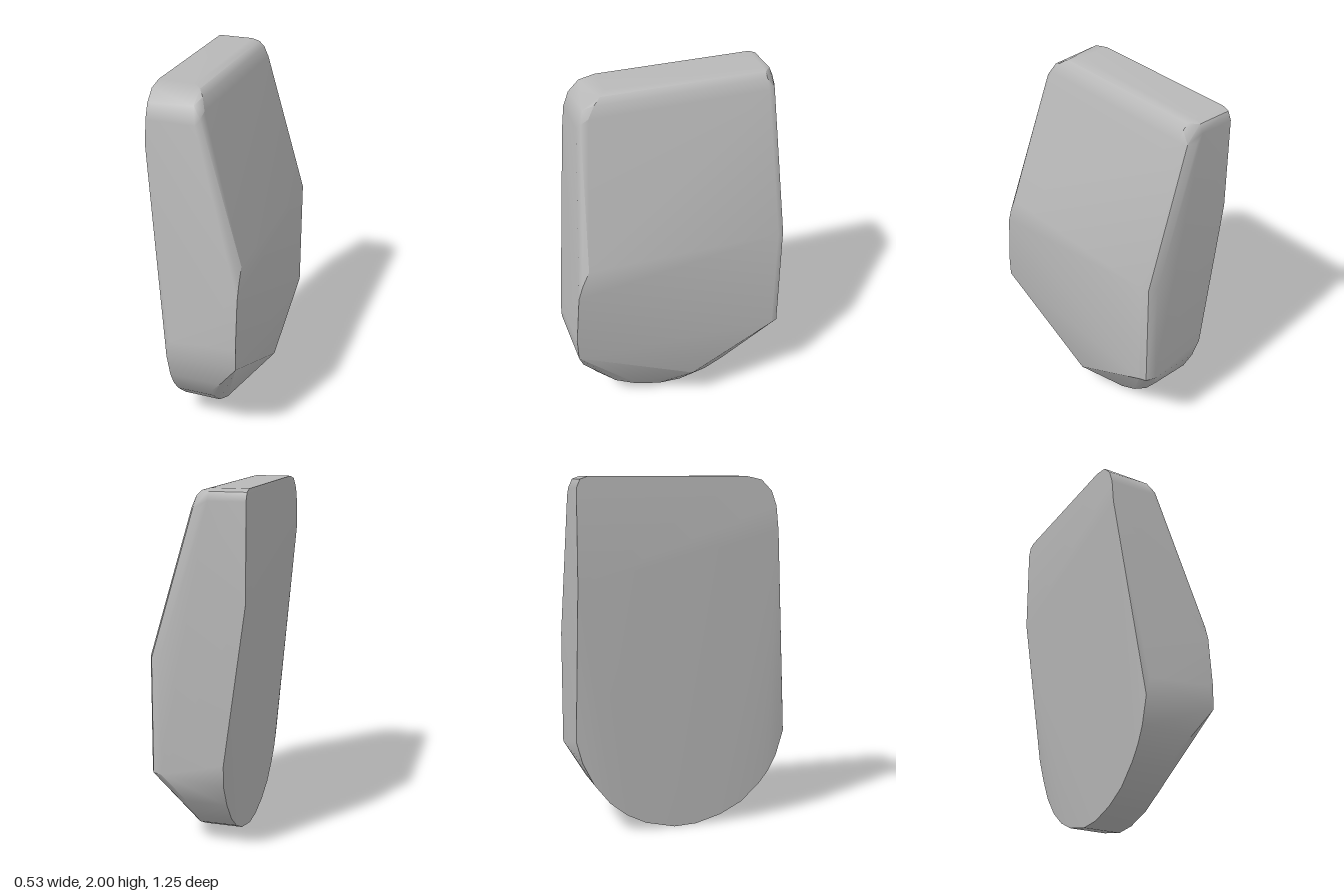
import * as THREE from 'three';
import { ConvexGeometry } from 'three/addons/geometries/ConvexGeometry.js';

// Hard edges above the crease angle, area-weighted smooth normals below it.
function creaseNormals(geo, degrees) {
  const pos = geo.attributes.position;
  const limit = Math.cos(THREE.MathUtils.degToRad(degrees));
  const corners = new Map();
  const faces = [];
  const p = [0, 1, 2].map(() => new THREE.Vector3());
  const key = (v) => v.toArray().map((n) => Math.round(n * 1e4)).join();
  for (let i = 0; i < pos.count; i += 3) {
    p.forEach((v, k) => v.fromBufferAttribute(pos, i + k));
    const area = p[1].clone().sub(p[0]).cross(p[2].clone().sub(p[0]));
    const face = { area, unit: area.clone().normalize(), keys: p.map(key) };
    faces.push(face);
    for (const k of face.keys) corners.set(k, [...(corners.get(k) ?? []), face]);
  }
  const normals = [];
  for (const f of faces) {
    for (const k of f.keys) {
      const n = new THREE.Vector3();
      for (const o of corners.get(k)) if (o.unit.dot(f.unit) > limit) n.add(o.area);
      normals.push(...n.normalize().toArray());
    }
  }
  geo.setAttribute('normal', new THREE.Float32BufferAttribute(normals, 3));
  return geo;
}

export function createModel() {
  const grey = new THREE.MeshStandardMaterial({ color: 0xb8b8b8 });
  grey.name = 'plain grey';
  const points = [];
  const add = (x, y, z) => points.push(new THREE.Vector3(x, y, z));

  // Rounded bottom: the arc as [z, y, right-hand x], from front to back
  const arc = [
    [0.62, 0.52, 0.265], [0.575, 0.37, 0.155], [0.53, 0.285, 0.09], [0.47, 0.21, 0.075],
    [0.36, 0.11, 0.075], [0.23, 0.045, 0.075], [0.08, 0.005, 0.075], [-0.05, 0, 0.075],
    [-0.22, 0.04, 0.075], [-0.33, 0.095, 0.075], [-0.43, 0.175, 0.075],
    [-0.52, 0.29, 0.09], [-0.585, 0.42, 0.17],
  ];
  for (const [z, y, x] of arc) {
    add(-0.14, y, z);
    add(x, y, z);
  }
  add(0.265, 0.21, -0.07); // point where the two lower bevels meet the side

  // Flat upper part of the -x side, with rounded top corners
  const sideOutline = [
    [0.515, 1.7], [0.5, 1.84], [0.47, 1.92], [0.41, 1.98], [0.32, 2],
    [-0.565, 2], [-0.605, 1.985], [-0.625, 1.94], [-0.625, 1.43],
  ];
  for (const [z, y] of sideOutline) add(-0.27, y, z);
  add(-0.15, 0.55, -0.622);

  // Front edge of the +x side and its bevel up the slope
  add(0.265, 0.65, 0.625);
  add(-0.12, 0.62, 0.625);
  add(0.265, 0.94, 0.6);
  add(0.265, 1.02, 0.575);
  add(0.265, 1.11, 0.535);
  add(0, 1.84, 0.5);
  add(0.022, 1.87, 0.48);
  add(0.03, 1.9, 0.44);

  // Rounded top of the slope
  add(-0.02, 1.93, 0.46);
  add(0.005, 1.96, 0.40);
  add(-0.025, 1.988, 0.36);
  add(-0.07, 2, 0.32);
  add(0.005, 1.96, -0.565);
  add(-0.025, 1.988, -0.565);
  add(-0.07, 2, -0.565);
  add(-0.07, 1.985, -0.605);
  add(-0.07, 1.94, -0.625);

  // Rounded back edge of the +x side, from bottom to top
  for (const [x, y] of [[0.265, 0.47], [0.265, 1.11], [0.03, 1.9]]) {
    add(x, y, -0.57);
    add(x - 0.018, y, -0.607);
    add(x - 0.065, y, -0.625);
  }

  const body = new THREE.Mesh(creaseNormals(new ConvexGeometry(points), 36), grey);
  body.name = 'body';
  const group = new THREE.Group();
  group.name = 'bevelledBlock';
  group.add(body);
  return group;
}
